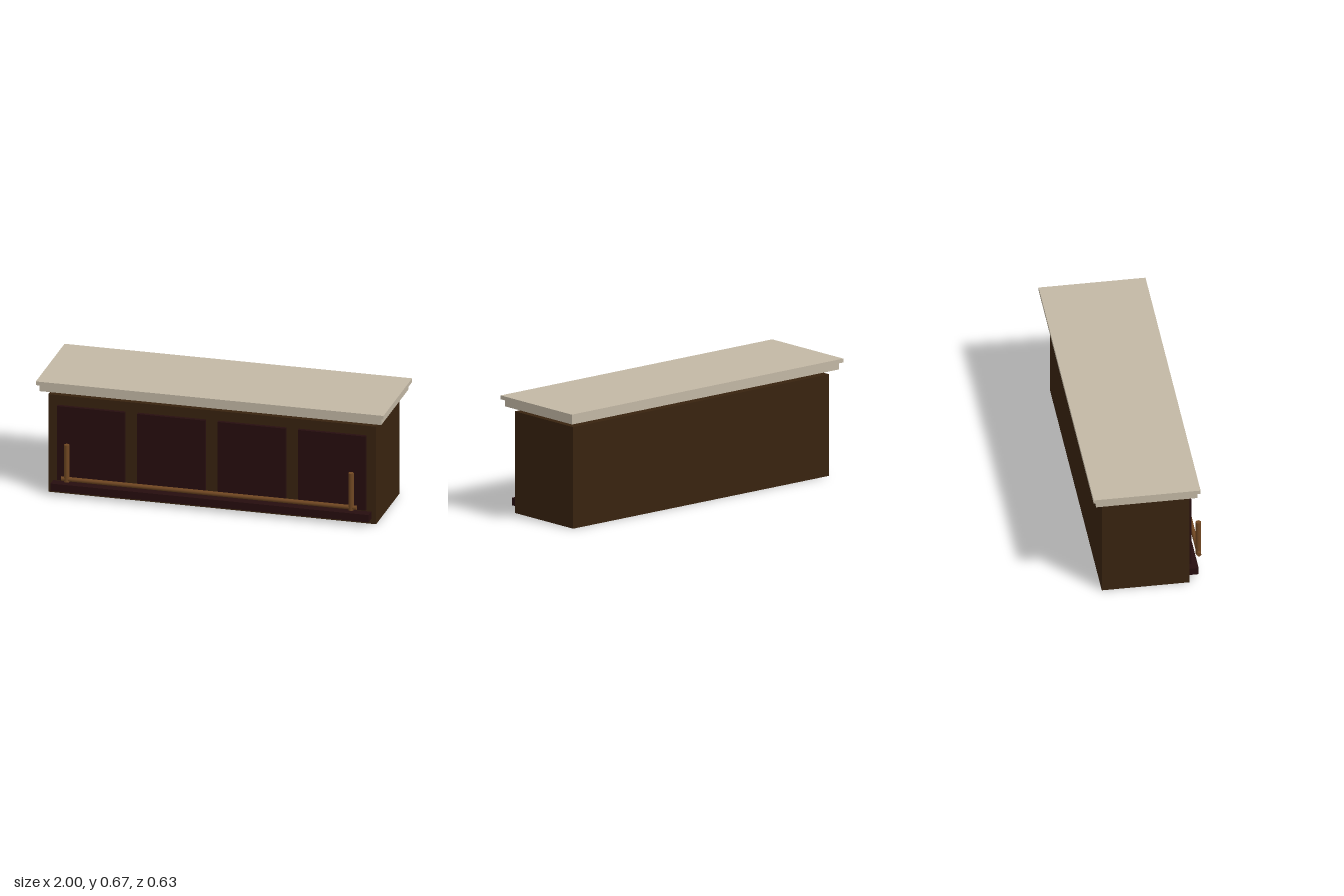
import * as THREE from 'three';

export function createModel() {
  const group = new THREE.Group();
  const material = (name, color) => {
    const m = new THREE.MeshStandardMaterial({ color });
    m.name = name;
    return m;
  };
  const darkWood = material('dark wood', 0x38230f);
  const panelWood = material('deep red wood', 0x260d0e);
  const stone = material('pale stone', 0xc2b7a4);
  const railBronze = material('bronze', 0x704722);

  const add = (name, geometry, mat, x, y, z) => {
    const mesh = new THREE.Mesh(geometry, mat);
    mesh.name = name;
    mesh.position.set(x, y, z);
    group.add(mesh);
    return mesh;
  };
  // Box given by its centre x, width and its y and z limits
  const box = (name, mat, x, width, y0, y1, z0, z1) =>
    add(name, new THREE.BoxGeometry(width, y1 - y0, z1 - z0), mat, x, (y0 + y1) / 2, (z0 + z1) / 2);

  // Cabinet
  box('cabinetBody', darkWood, 0, 1.886, 0, 0.58, -0.261, 0.231);

  // Floating two-step countertop
  box('counterLowerSlab', stone, 0, 1.966, 0.608, 0.648, -0.299, 0.269);
  box('counterTop', stone, 0, 2, 0.648, 0.67, -0.315, 0.285);

  // Four raised front panels
  for (let i = 0; i < 4; i++) {
    box('frontPanel' + (i + 1), panelWood, (i - 1.5) * 0.462, 0.39, 0.083, 0.523, 0.22, 0.252);
  }

  // Plinth strip along the foot of the front
  box('kickBoard', panelWood, 0, 1.83, 0.029, 0.072, 0.22, 0.287);

  // Foot rail and its two upright posts
  const rail = add('footRail', new THREE.CylinderGeometry(0.0125, 0.0125, 1.698, 16), railBronze, 0, 0.114, 0.3);
  rail.rotation.z = Math.PI / 2;
  for (const side of [-1, 1]) {
    add(side > 0 ? 'leftRailPost' : 'rightRailPost',
      new THREE.CylinderGeometry(0.0152, 0.0152, 0.22, 16), railBronze, side * 0.818, 0.208, 0.3);
  }
  return group;
}
